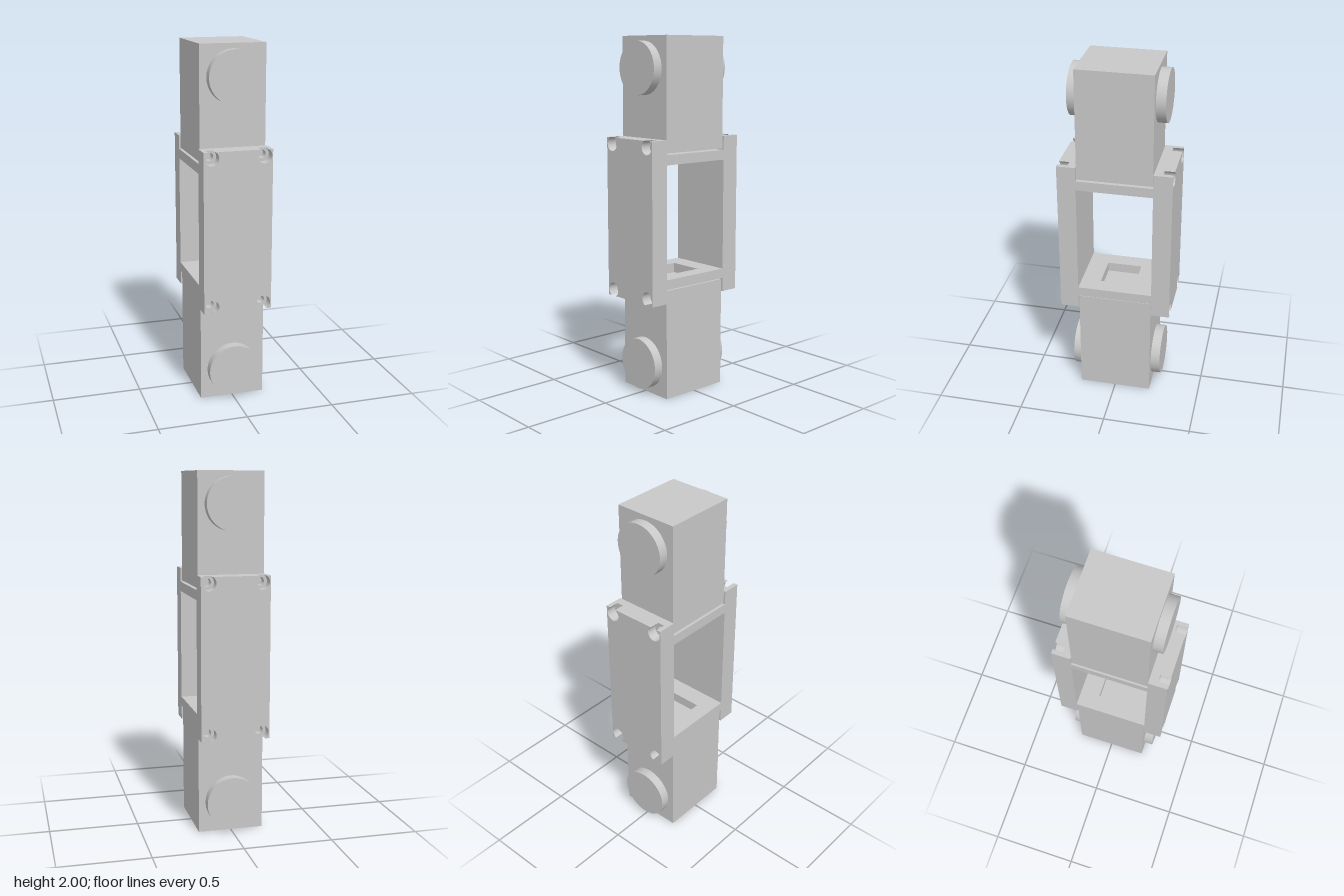
import * as THREE from 'three';

const grey = new THREE.MeshStandardMaterial({ color: 0xc8c8c8 });
grey.name = 'lightGrey';

// Side plate: half width, half height, inner/floor/outer depth, bore position and radii
const W = 0.192, H = 0.449, Z0 = 0.212, Z1 = 0.26, Z2 = 0.317;
const BX = 0.147, BY = 0.414, BORE = 0.0403, HOLE = 0.023;

function add(parent, name, geometry, x = 0, y = 0, z = 0) {
  const mesh = new THREE.Mesh(geometry, grey);
  mesh.name = name;
  mesh.position.set(x, y, z);
  parent.add(mesh);
}

function extrude(shape, depth) {
  return new THREE.ExtrudeGeometry(shape, { depth, bevelEnabled: false, curveSegments: 20 });
}

function rectangle(w, h) {
  return new THREE.Shape([[-w, -h], [w, -h], [w, h], [-w, h]].map(p => new THREE.Vector2(...p)));
}

function circle(x, y, r) {
  return new THREE.Path().absarc(x, y, r, 0, Math.PI * 2, true);
}

// Plate outline whose screw bores break through the top and bottom edges
function notchedOutline() {
  const d = H - BY, c = Math.sqrt(BORE * BORE - d * d);
  const shape = new THREE.Shape().moveTo(-W, H).lineTo(-W, -H);
  for (const x of [-BX, BX]) {
    shape.absarc(x, -BY, BORE, Math.atan2(-d, -c), Math.atan2(-d, c), true);
  }
  shape.lineTo(W, -H).lineTo(W, H);
  for (const x of [BX, -BX]) {
    shape.absarc(x, BY, BORE, Math.atan2(d, c), Math.atan2(d, -c), true);
  }
  return shape;
}

function sidePlate(name) {
  const plate = new THREE.Group();
  plate.name = name;
  const inner = rectangle(W, H);
  for (const x of [-BX, BX]) for (const y of [-BY, BY]) inner.holes.push(circle(x, y, HOLE));
  add(plate, 'plateBase', extrude(inner, Z1 - Z0), 0, 0, Z0);
  add(plate, 'plateFace', extrude(notchedOutline(), Z2 - Z1), 0, 0, Z1);
  plate.position.y = 1;
  return plate;
}

export function createModel() {
  const model = new THREE.Group();
  model.name = 'linkedBlocks';

  // Front and back plates of the central frame
  const front = sidePlate('frontPlate');
  const back = sidePlate('backPlate');
  back.rotation.y = Math.PI;
  model.add(front, back);

  for (const s of [1, -1]) {
    const end = s > 0 ? 'upper' : 'lower';

    // Cross bar with a square opening
    const bar = rectangle(W, Z0);
    bar.holes.push(new THREE.Path(rectangle(0.1, 0.1).getPoints().reverse()));
    const barGeometry = extrude(bar, 0.055).rotateX(-Math.PI / 2).translate(0, -0.0275, 0);
    add(model, end + 'CrossBar', barGeometry, 0, 1 + s * 0.3425, 0);

    // End block, separated from the frame by a narrow gap
    add(model, end + 'Block', new THREE.BoxGeometry(0.368, 0.622, 0.418), 0, 1 + s * 0.689, 0);

    // Round bosses on the front and back of the block
    for (const z of [1, -1]) {
      const boss = new THREE.CylinderGeometry(0.145, 0.145, 0.06, 64).rotateX(Math.PI / 2);
      add(model, end + (z > 0 ? 'FrontBoss' : 'BackBoss'), boss, 0, 1 + s * 0.827, z * 0.232);
    }
  }
  return model;
}
